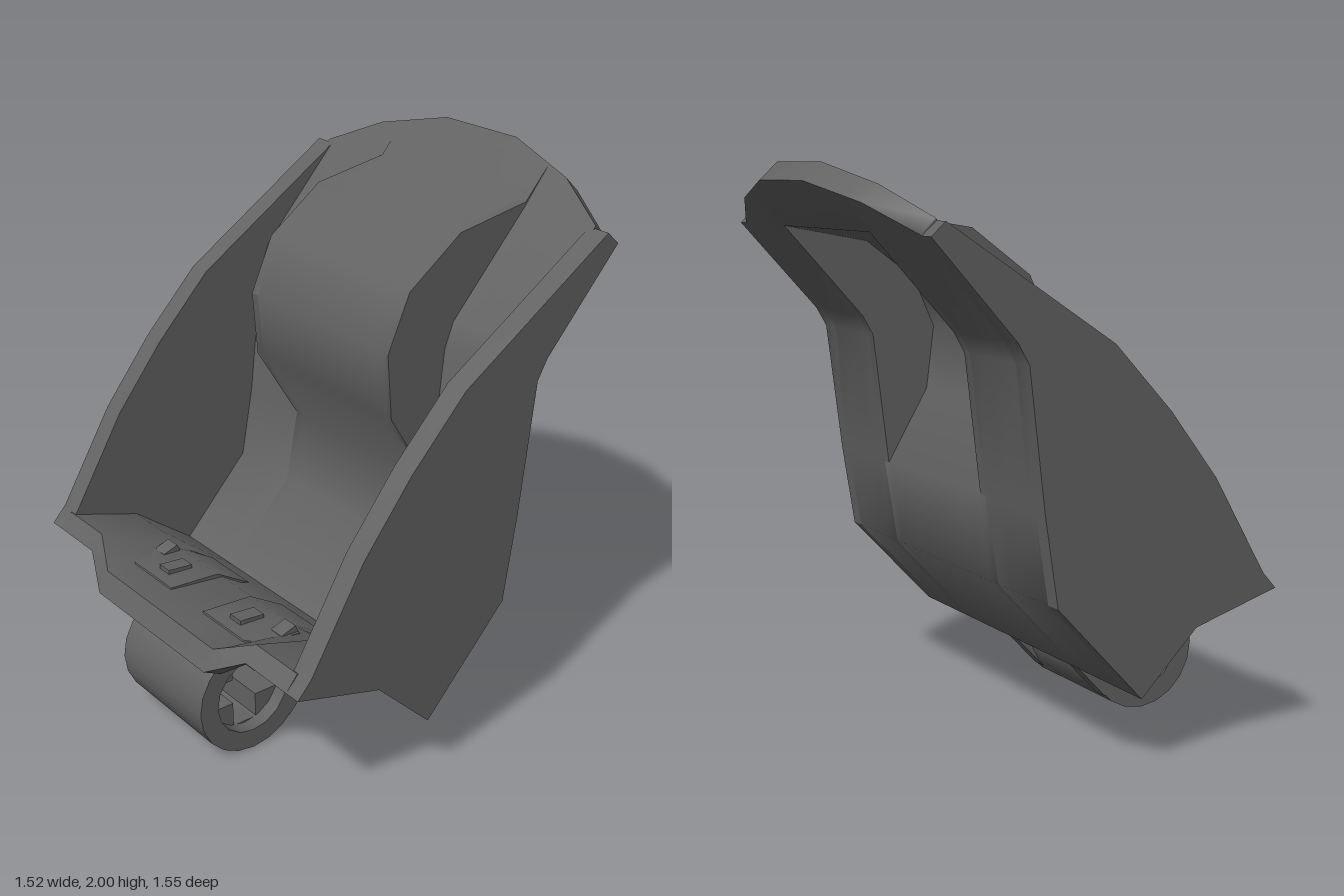
import * as THREE from 'three';
import { toCreasedNormals } from 'three/addons/utils/BufferGeometryUtils.js';

const material = new THREE.MeshStandardMaterial({ color: 0x626262 });

function addMesh(group, name, geometry, crease = 0.5) {
  const mesh = new THREE.Mesh(toCreasedNormals(geometry, crease), material);
  mesh.name = name;
  group.add(mesh);
}

// Solid through closed [z, y] outlines placed at rising x stations
function loft(xs, outlineAt) {
  const rings = xs.map((x) => outlineAt(x).map(([z, y]) => new THREE.Vector2(z, y)));
  if (THREE.ShapeUtils.area(rings[0]) < 0) rings.forEach((r) => r.reverse());
  const n = rings[0].length;
  const positions = [];
  const put = (i, j) => positions.push(xs[i], rings[i][j % n].y, rings[i][j % n].x);
  for (let i = 0; i < xs.length - 1; i++) {
    for (let j = 0; j < n; j++) {
      put(i, j); put(i + 1, j); put(i + 1, j + 1);
      put(i, j); put(i + 1, j + 1); put(i, j + 1);
    }
  }
  const last = xs.length - 1;
  for (const [a, b, c] of THREE.ShapeUtils.triangulateShape(rings[0], [])) {
    put(0, a); put(0, b); put(0, c);
  }
  for (const [a, b, c] of THREE.ShapeUtils.triangulateShape(rings[last], [])) {
    put(last, a); put(last, c); put(last, b);
  }
  const geometry = new THREE.BufferGeometry();
  geometry.setAttribute('position', new THREE.Float32BufferAttribute(positions, 3));
  geometry.computeVertexNormals();
  return geometry;
}

const prism = (x0, x1, outline) => loft([x0, x1], () => outline);

// Extrudes a [z, y] outline with one hole along x
function holed(outline, hole, x0, x1) {
  const vec = (p) => p.map(([z, y]) => new THREE.Vector2(z, y));
  const shape = new THREE.Shape(vec(outline));
  shape.holes.push(new THREE.Path(vec(hole)));
  return new THREE.ExtrudeGeometry(shape, { depth: x1 - x0, bevelEnabled: false })
    .rotateY(-Math.PI / 2)
    .translate(x1, 0, 0);
}

const circle = (z, y, r, n) =>
  Array.from({ length: n }, (_, i) => {
    const a = (i / n) * Math.PI * 2;
    return [z + r * Math.cos(a), y + r * Math.sin(a)];
  });

// Height of the top lip, highest in the middle
function lipRise(x) {
  const a = Math.abs(x);
  if (a <= 0.18) return 1;
  if (a <= 0.48) return 1 - (0.4 * (a - 0.18)) / 0.3;
  return Math.max(0.02, 0.6 * (1 - (a - 0.48) / 0.22));
}

// Floor and front lip, dropping toward the middle
const floorSide = [[-0.11, 0.63], [0.16, 0.34], [0.4, 0.52], [0.67, 0.605], [0.715, 0.55],
  [0.7, 0.545], [0.58, 0.52], [0.38, 0.455], [0.16, 0.24], [-0.17, 0.59]];
const floorMiddle = [[-0.11, 0.63], [0.16, 0.34], [0.4, 0.5], [0.74, 0.54], [0.78, 0.465],
  [0.71, 0.43], [0.58, 0.49], [0.38, 0.455], [0.16, 0.24], [-0.17, 0.59]];

function floorAt(x) {
  const t = THREE.MathUtils.clamp((Math.abs(x) - 0.33) / 0.15, 0, 1);
  return floorMiddle.map(([z, y], i) => [
    THREE.MathUtils.lerp(z, floorSide[i][0], t),
    THREE.MathUtils.lerp(y, floorSide[i][1], t),
  ]);
}

const sideInner = [[-0.57, 1.83], [-0.25, 1.48], [-0.215, 1.39], [-0.16, 0.9]];
const sideOuter = [[-0.22, 0.9], [-0.28, 1.38], [-0.32, 1.45], [-0.62, 1.78]];
const humpInner = [[-0.57, 1.84], [-0.27, 1.79], [-0.05, 1.63], [0.04, 1.43], [0.02, 1.19], [-0.16, 0.9]];
const humpOuter = [[-0.22, 0.9], [-0.06, 1.17], [-0.03, 1.4], [-0.11, 1.58], [-0.3, 1.72], [-0.62, 1.78]];

// Whole shell section: top lip, inside of the wall, floor, outside of the wall
const shellOutline = (inner, outer) => (x) => {
  const k = lipRise(x);
  return [[-0.57 - 0.14 * k, 1.83 + 0.17 * k], ...inner, ...floorAt(x), ...outer,
    [-0.62 - 0.155 * k, 1.78 + 0.16 * k]];
};

const sidePlate = [[0.715, 0.55], [0.66, 0.61], [0.45, 0.96], [0.26, 1.2], [0.04, 1.43], [-0.57, 1.825],
  [-0.62, 1.78], [-0.32, 1.45], [-0.28, 1.38], [-0.22, 0.9], [-0.17, 0.59], [0.16, 0.24], [0.38, 0.455]];

export function createModel() {
  const group = new THREE.Group();
  const smooth = 1.05;

  // Shell: flat strips at the sides, pushed-forward hump in the middle
  const strip = shellOutline(sideInner, sideOuter);
  addMesh(group, 'shellLeft', loft([0.38, 0.48, 0.7], strip), smooth);
  addMesh(group, 'shellRight', loft([-0.7, -0.48, -0.38], strip), smooth);
  addMesh(group, 'shellHump',
    loft([-0.38, -0.33, -0.18, 0.18, 0.33, 0.38], shellOutline(humpInner, humpOuter)), smooth);

  for (const side of [-1, 1]) {
    const label = side > 0 ? 'Left' : 'Right';
    const span = (a, b) => (side > 0 ? [a, b] : [-b, -a]);

    addMesh(group, 'sidePlate' + label, prism(...span(0.675, 0.76), sidePlate));

    // Wall closing the side of the hump
    addMesh(group, 'humpSide' + label, prism(...span(0.345, 0.381), [...humpInner, ...sideOuter]));

    // Raised pad on the floor with two small catches
    const pad = [[0.28, 0.432], [0.42, 0.518], [0.62, 0.532], [0.63, 0.505], [0.42, 0.48]];
    const padEnds = side > 0 ? [0.1, 0.34, 0.4] : [-0.4, -0.34, -0.1];
    addMesh(group, 'floorPad' + label, loft(padEnds, (x) =>
      pad.map(([z, y]) => [Math.abs(x) > 0.39 ? 0.46 + (z - 0.46) * 0.7 : z, y])));
    addMesh(group, 'smallCatch' + label,
      prism(...span(0.19, 0.25), [[0.47, 0.5], [0.47, 0.535], [0.57, 0.545], [0.57, 0.5]]));
    addMesh(group, 'cornerCatch' + label,
      prism(...span(0.33, 0.39), [[0.42, 0.5], [0.44, 0.545], [0.5, 0.525], [0.5, 0.5]]));

    // Hinge arm at each end of the barrel
    addMesh(group, 'hingeArm' + label, prism(...span(0.185, 0.245),
      [[0.36, 0.07], [0.18, 0.26], [0.38, 0.47], [0.58, 0.495], [0.62, 0.42], [0.5, 0.385], [0.375, 0.3], [0.355, 0.2]]));
  }

  // Hinge barrel, with a recessed core that has a cross-shaped bore
  const cz = 0.52, cy = 0.225;
  addMesh(group, 'hingeBarrel', holed(circle(cz, cy, 0.222, 20), circle(cz, cy, 0.149, 16), -0.245, 0.245));
  const w = 0.048, r = 0.142;
  const cross = [[w, w], [w, r], [-w, r], [-w, w], [-r, w], [-r, -w], [-w, -w], [-w, -r], [w, -r], [w, -w], [r, -w], [r, w]]
    .map(([z, y]) => [cz + z, cy + y]);
  addMesh(group, 'hingeCore', holed(circle(cz, cy, 0.152, 16), cross, -0.19, 0.19));
  addMesh(group, 'hingeWeb', prism(-0.2, 0.2, [[0.42, 0.4], [0.4, 0.47], [0.58, 0.495], [0.61, 0.42], [0.5, 0.385]]));

  return group;
}
